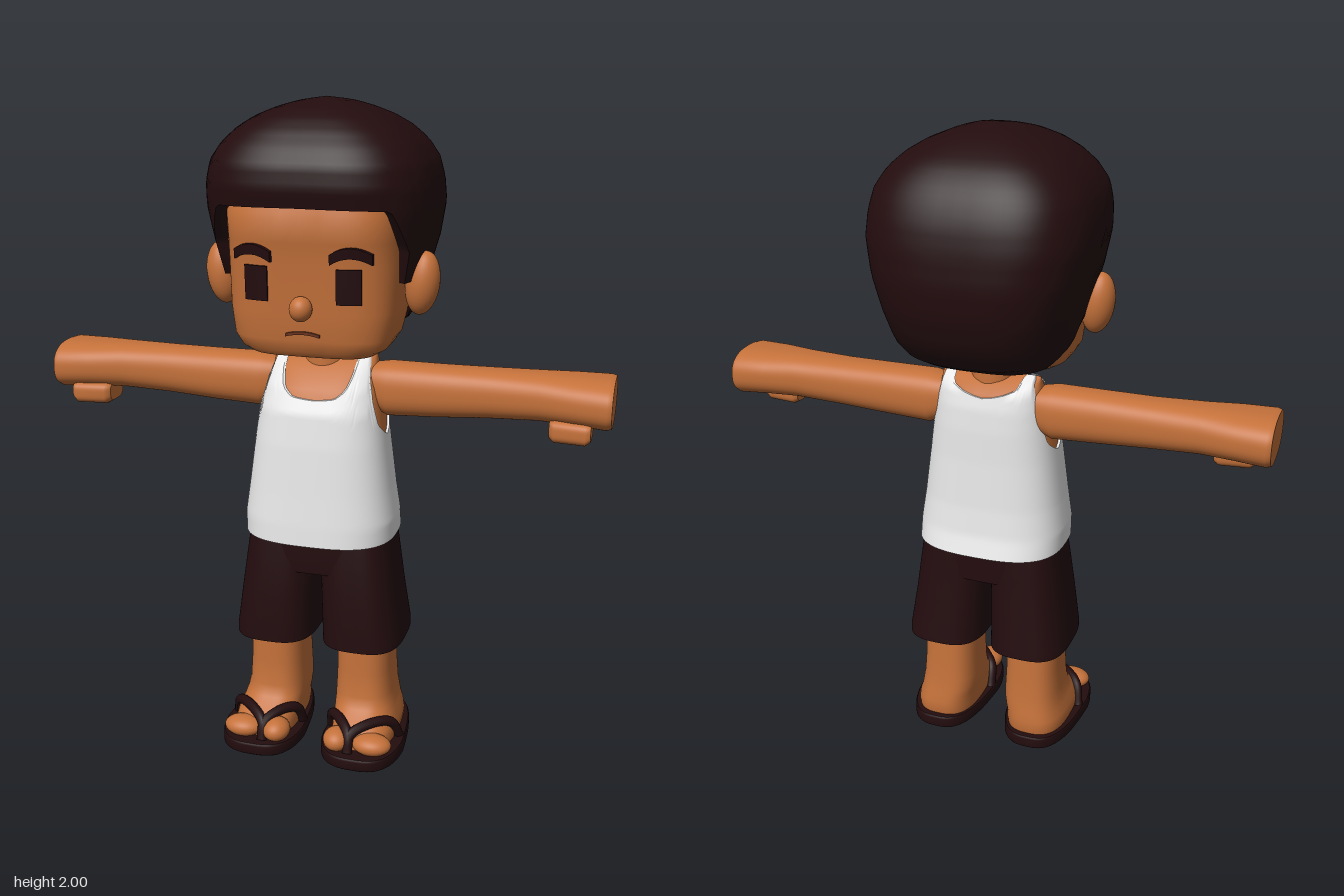
import * as THREE from 'three';

const mat = (name, color, side = THREE.FrontSide) => {
  const m = new THREE.MeshStandardMaterial({ color, side });
  m.name = name;
  return m;
};
const SEG = 96;

// Linear lookup in a table whose first column is the key
function lookup(table, k) {
  let i = 0;
  while (i < table.length - 2 && k > table[i + 1][0]) i++;
  const a = table[i], b = table[i + 1];
  const t = THREE.MathUtils.clamp((k - a[0]) / (b[0] - a[0]), 0, 1);
  return a.map((v, j) => v + (b[j] - v) * t);
}

// Point on a squarish oval section; table rows are [y, halfWidth, zFront, zBack, xCentre]
function point(table, n, y, a, s = 1) {
  const [, rx, zf, zb, cx = 0] = lookup(table, y);
  const pw = (v) => Math.sign(v) * Math.abs(v) ** (2 / n);
  return [cx + s * rx * pw(Math.sin(a)), y, (zf + zb) / 2 + s * (zf - zb) / 2 * pw(Math.cos(a))];
}

// Closed skin through rows of points; each row is a function of the angle
function wrap(rows) {
  const pos = [], idx = [];
  rows.forEach((row, i) => {
    for (let j = 0; j < SEG; j++) {
      pos.push(...row(j / SEG * Math.PI * 2));
      if (!i) continue;
      const k = (j + 1) % SEG, p = (i - 1) * SEG, q = i * SEG;
      idx.push(p + j, p + k, q + k, p + j, q + k, q + j);
    }
  });
  const g = new THREE.BufferGeometry();
  g.setAttribute('position', new THREE.Float32BufferAttribute(pos, 3));
  g.setIndex(idx);
  g.computeVertexNormals();
  return g;
}

// Capped loft through every row of a table
function loft(table, n) {
  const row = (y, s) => (a) => point(table, n, y, a, s);
  const lo = table[0][0], hi = table[table.length - 1][0];
  return wrap([row(lo, 0), row(lo, 1), ...table.map((r) => row(r[0], 1)), row(hi, 1), row(hi, 0)]);
}

function mirrored(g) {
  const m = g.clone().scale(-1, 1, 1);
  const ix = m.index.array;
  for (let i = 0; i < ix.length; i += 3) [ix[i], ix[i + 1]] = [ix[i + 1], ix[i]];
  m.computeVertexNormals();
  return m;
}

const ball = (x, y, z, rx, ry, rz) => new THREE.SphereGeometry(1, 28, 18).scale(rx, ry, rz).translate(x, y, z);

// Move each vertex of a geometry by a rule
function bend(g, rule) {
  const p = g.attributes.position, v = new THREE.Vector3();
  for (let i = 0; i < p.count; i++) {
    rule(v.fromBufferAttribute(p, i));
    p.setXYZ(i, v.x, v.y, v.z);
  }
  g.computeVertexNormals();
  return g;
}

const HEAD = [
  [1.28, .15, .21, 0], [1.287, .185, .235, -.02], [1.305, .215, .252, -.04], [1.34, .237, .264, -.07],
  [1.42, .25, .27, -.12], [1.55, .256, .277, -.18], [1.62, .257, .287, -.2], [1.7, .257, .3, -.2], [1.8, .23, .24, -.18]];
const HAIR = [
  [1.31, .19, .2, -.14], [1.34, .225, .235, -.215], [1.4, .26, .262, -.27], [1.5, .288, .288, -.31],
  [1.6, .316, .3, -.323], [1.7, .334, .315, -.316], [1.77, .33, .328, -.302], [1.83, .316, .32, -.278],
  [1.88, .283, .29, -.245], [1.92, .238, .255, -.205], [1.95, .188, .218, -.155], [1.975, .125, .17, -.1],
  [1.99, .07, .11, -.05], [2, 0, .03, .03]];
const BODY = [
  [.7, .235, .245, -.145], [.76, .235, .24, -.125], [.85, .222, .23, -.112], [1, .203, .215, -.1], [1.1, .19, .2, -.095],
  [1.17, .178, .165, -.088], [1.22, .168, .115, -.075], [1.25, .163, .07, -.045], [1.268, .16, .025, .005]];
// Lower hair edge and upper shirt edge: [degrees from the front, height]
const HAIRLINE = [[0, 1.72], [40, 1.715], [50, 1.65], [60, 1.59], [63, 1.5], [76, 1.5], [85, 1.48], [90, 1.37], [120, 1.33], [180, 1.31]];
const NECKLINE = [
  [0, 1.14], [14, 1.146], [25, 1.17], [33, 1.21], [39, 1.268], [57, 1.268], [62, 1.15], [72, 1.06], [90, 1.02],
  [108, 1.06], [118, 1.15], [123, 1.268], [141, 1.268], [149, 1.235], [180, 1.205]];
const edge = (table, a) => lookup(table, THREE.MathUtils.radToDeg(a > Math.PI ? 2 * Math.PI - a : a))[1];

// Front of the face at x, y
function faceZ(x, y) {
  const [, rx, zf, zb] = lookup(HEAD, y);
  return (zf + zb) / 2 + (zf - zb) / 2 * (1 - Math.abs(x / rx) ** 3.6) ** (1 / 3.6);
}
// Thin block laid on the face, arched by k
const onFace = (w, h, d, x, y, k = 0) => bend(new THREE.BoxGeometry(w, h, d, 8, 2, 1), (v) => {
  v.y += y - k * v.x * v.x;
  v.x += x;
  v.z += faceZ(v.x, v.y) + .003;
});

export function createModel() {
  const skin = mat('skin', 0xc4713a), dark = mat('darkBrown', 0x230c0e);
  const white = mat('whiteCloth', 0xe8e8e8, THREE.DoubleSide), lip = mat('lip', 0x6b3420);
  const model = new THREE.Group();
  const add = (name, g, m) => {
    const mesh = new THREE.Mesh(g, m);
    mesh.name = name;
    model.add(mesh);
  };
  const pair = (name, g, m) => {
    add(name + 'Left', g, m);
    add(name + 'Right', mirrored(g), m);
  };

  // Head and face
  add('head', loft(HEAD, 3.6), skin);
  add('neck', new THREE.CylinderGeometry(.062, .072, .18, 32).translate(0, 1.27, .025), skin);
  add('nose', ball(0, 1.437, .285, .033, .036, .034), skin);
  add('mouth', onFace(.1, .009, .009, 0, 1.365, 3), lip);
  pair('eye', onFace(.07, .1, .009, .135, 1.502), dark);
  pair('eyebrow', onFace(.115, .03, .03, .143, 1.6, 6), dark);
  const ear = new THREE.SphereGeometry(1, 28, 18).scale(.05, .093, .052).rotateZ(-.12);
  pair('ear', ear.translate(.303, 1.49, .083), skin);

  // Hair cap with fringe, sideburns and full back
  const hairRow = (t, s) => (a) => {
    const lo = edge(HAIRLINE, a);
    return point(HAIR, 3, lo + (2 - lo) * t, a, s);
  };
  const hairRows = [() => [0, 1.37, .03], hairRow(0, .75), hairRow(0, .99), hairRow(0, 1)];
  for (let i = 0; i <= 32; i++) hairRows.push(hairRow(Math.sin(i / 32 * Math.PI / 2), 1));
  add('hair', wrap(hairRows), dark);

  // Upper body and tank top
  add('torso', loft(BODY.slice(2).map(([y, w, f, b]) => [y - .004, w * .965, f - .007, b + .007]), 2.8), skin);
  const shirtRow = (t, s) => (a) => point(BODY, 2.8, .7 + (edge(NECKLINE, a) - .7) * t, a, s);
  const shirtRows = [shirtRow(0, 0), shirtRow(0, 1)];
  for (let i = 0; i <= 40; i++) shirtRows.push(shirtRow(i / 40, 1));
  shirtRows.push(shirtRow(1, 1), shirtRow(1, .95));
  add('tankTop', wrap(shirtRows), white);

  // Outstretched arms with mitten hands; sections run along x
  const arm = [
    [.13, .06, .08, -.04, -1.165], [.2, .082, .1, -.05, -1.155], [.35, .078, .1, -.05, -1.158], [.5, .073, .1, -.055, -1.163],
    [.65, .07, .115, -.065, -1.168], [.75, .071, .14, -.083, -1.168], [.845, .074, .15, -.09, -1.165], [.86, .07, .142, -.082, -1.165]];
  pair('arm', loft(arm, 2.5).rotateZ(-Math.PI / 2), skin);
  const thumb = [[.685, .028, .11, .02, -1.088], [.7, .036, .13, .01, -1.087], [.79, .036, .14, .02, -1.087], [.805, .028, .13, .03, -1.09]];
  pair('thumb', loft(thumb, 3.2).rotateZ(-Math.PI / 2), skin);

  // Shorts
  add('shortsHips', loft([[.59, .226, .195, -.1], [.64, .23, .198, -.1], [.72, .222, .195, -.1]], 3), dark);
  const shortsLeg = [
    [.35, .128, .215, -.13, .141], [.37, .128, .215, -.128, .141], [.5, .12, .212, -.112, .13], [.62, .114, .2, -.102, .12], [.7, .108, .19, -.095, .115]];
  pair('shortsLeg', loft(shortsLeg, 3), dark);

  // Legs running into the feet
  const leg = [
    [.035, .1, .265, -.085, .16], [.06, .103, .268, -.09, .16], [.085, .1, .25, -.088, .158], [.11, .097, .215, -.084, .152],
    [.135, .095, .185, -.08, .148], [.17, .092, .17, -.075, .145], [.25, .088, .165, -.068, .144], [.4, .086, .165, -.06, .144]];
  pair('leg', loft(leg, 2.8), skin);
  pair('bigToe', ball(.1, .068, .255, .044, .036, .05), skin);
  pair('smallToes', ball(.21, .062, .25, .062, .032, .046), skin);

  // Sandals: soles narrowing at the heel, straps meeting between the toes
  const sole = loft([[0, .126, .315, -.106, .163], [.006, .132, .322, -.11, .163], [.034, .132, .322, -.11, .163], [.04, .128, .318, -.106, .163]], 2.9);
  pair('sandalSole', bend(sole, (v) => {
    v.x = .163 + (v.x - .163) * THREE.MathUtils.clamp(.88 + v.z * .7, .8, 1);
  }), dark);
  const strap = (pts) => new THREE.TubeGeometry(
    new THREE.CatmullRomCurve3(pts.map((p) => new THREE.Vector3(...p))), 28, .016, 10);
  pair('outerStrap', strap([[.14, .04, .285], [.143, .09, .265], [.195, .112, .215], [.25, .1, .165], [.27, .035, .13]]), dark);
  pair('innerStrap', strap([[.14, .04, .285], [.137, .09, .265], [.1, .112, .215], [.06, .1, .165], [.05, .035, .13]]), dark);

  return model;
}
